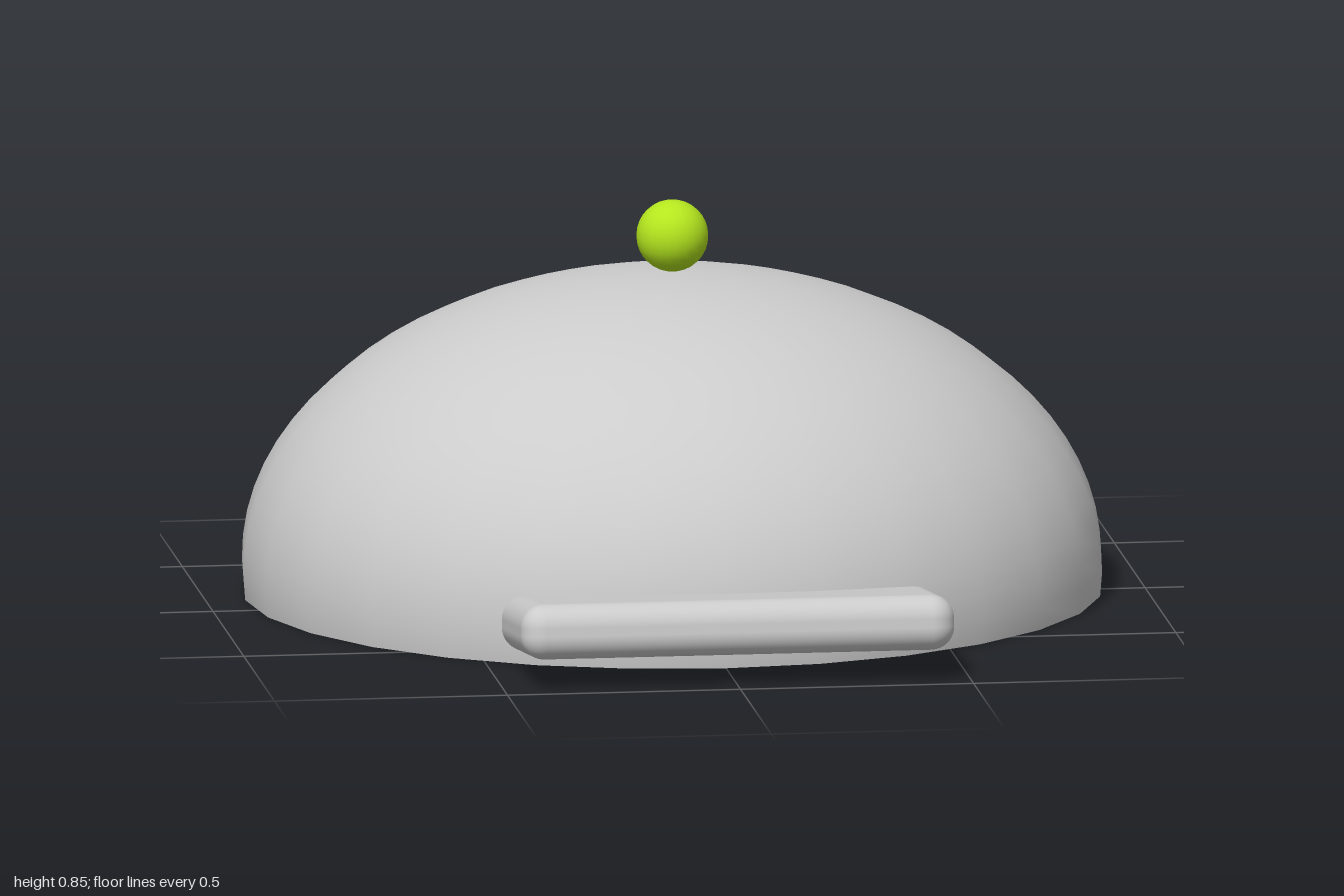
import * as THREE from 'three';
import { RoundedBoxGeometry } from 'three/addons/geometries/RoundedBoxGeometry.js';

export function createModel() {
  const group = new THREE.Group();
  const grey = new THREE.MeshStandardMaterial({ color: 0xcccccc });
  const greyOpen = new THREE.MeshStandardMaterial({ color: 0xcccccc, side: THREE.DoubleSide });
  const lime = new THREE.MeshStandardMaterial({ color: 0xb4e61e });

  const add = (name, geometry, material, x, y, z) => {
    const mesh = new THREE.Mesh(geometry, material);
    mesh.name = name;
    mesh.position.set(x, y, z);
    group.add(mesh);
    return mesh;
  };

  // Open, hollow crown: an oval dome reaching a little below its widest ring
  const centreY = 0.06, height = 0.63;
  const rimAngle = Math.PI / 2 + Math.asin(centreY / height);
  const crownGeometry = new THREE.SphereGeometry(1, 28, 20, 0, Math.PI * 2, 0, rimAngle);
  crownGeometry.scale(0.92, height, 0.885);
  add('crown', crownGeometry, greyOpen, 0, centreY, -0.115);

  // Flat rounded peak, tipped up at the front and running into the crown
  const peak = add('peak', new RoundedBoxGeometry(0.93, 0.118, 0.53, 5, 0.05), grey, 0, 0.097, 0.734);
  peak.rotation.x = -0.13;

  // Button on top
  add('topButton', new THREE.SphereGeometry(0.077, 24, 16), lime, 0, 0.768, -0.11);

  return group;
}
